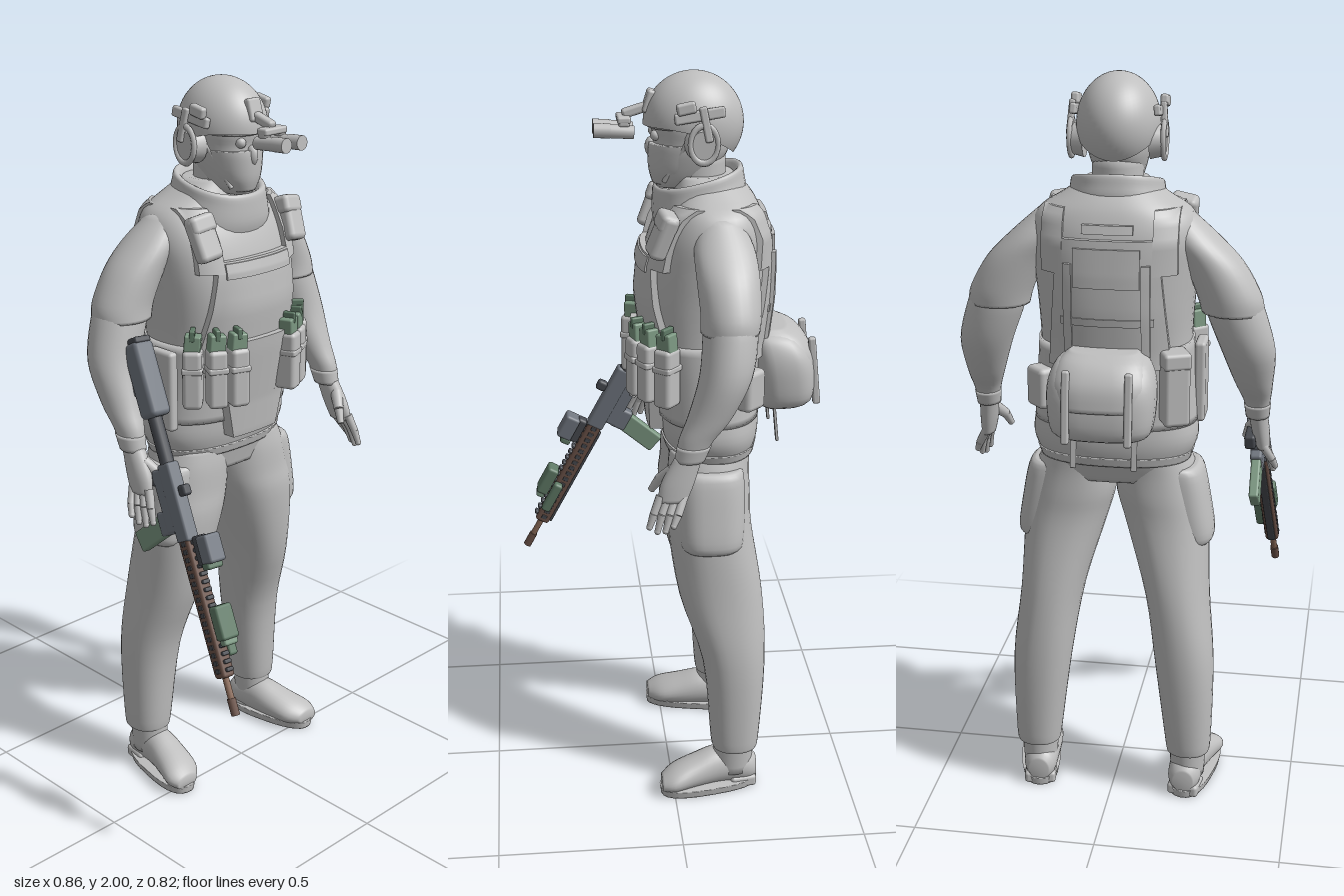
import * as THREE from 'three';
import { RoundedBoxGeometry } from 'three/addons/geometries/RoundedBoxGeometry.js';
import { ParametricGeometry } from 'three/addons/geometries/ParametricGeometry.js';

const mat = (name, color) => Object.assign(new THREE.MeshStandardMaterial({ color }), { name });

// Skin through horizontal rings [x, y, z, radiusX, radiusZ, tilt]; n squares the rings off
function loft(sections, n = 2, seg = 28, sub = 4) {
  const rings = [], S = i => sections[Math.min(Math.max(i, 0), sections.length - 1)];
  for (let i = 0; i < sections.length - 1; i++)
    for (let k = 0; k < sub; k++) {
      const t = k / sub;
      rings.push([0, 1, 2, 3, 4, 5].map(c => {
        const [a, b, d, e] = [S(i - 1), S(i), S(i + 1), S(i + 2)].map(s => s[c] || 0);
        return b + 0.5 * t * (d - a + t * (2 * a - 5 * b + 4 * d - e + t * (3 * (b - d) + e - a)));
      }));
    }
  rings.push(S(sections.length));
  const pos = [], idx = [], pw = v => Math.sign(v) * Math.abs(v) ** (2 / n);
  for (const [x, y, z, rx, rz, tilt = 0] of rings)
    for (let j = 0; j < seg; j++) {
      const a = j / seg * Math.PI * 2, dz = pw(Math.sin(a)) * rz;
      pos.push(x + pw(Math.cos(a)) * rx, y - tilt * dz, z + dz);
    }
  const at = (i, j) => i * seg + j % seg, last = rings.length - 1;
  for (let i = 0; i < last; i++)
    for (let j = 0; j < seg; j++)
      idx.push(at(i, j), at(i + 1, j), at(i + 1, j + 1), at(i, j), at(i + 1, j + 1), at(i, j + 1));
  const c = pos.length / 3;
  pos.push(...rings[0].slice(0, 3), ...rings[last].slice(0, 3));
  for (let j = 0; j < seg; j++) idx.push(c, at(0, j), at(0, j + 1), c + 1, at(last, j + 1), at(last, j));
  const g = new THREE.BufferGeometry();
  g.setAttribute('position', new THREE.Float32BufferAttribute(pos, 3));
  g.setIndex(idx);
  g.computeVertexNormals();
  return g;
}

// Torso profile: y, centre z, half width, half depth
const TORSO = [[.94, -.11, .18, .1], [1, -.115, .2, .12], [1.06, -.113, .222, .134], [1.15, -.107, .21, .137],
  [1.3, -.097, .2, .152], [1.42, -.097, .205, .167], [1.52, -.102, .215, .162], [1.6, -.112, .22, .147],
  [1.66, -.118, .2, .122], [1.7, -.115, .14, .1], [1.74, -.1, .08, .075]];
const TN = 2.4;
function torsoZ(x, y, side) {
  let i = 0;
  while (i < TORSO.length - 2 && TORSO[i + 1][0] < y) i++;
  const t = (y - TORSO[i][0]) / (TORSO[i + 1][0] - TORSO[i][0]);
  const [cz, rx, rz] = [1, 2, 3].map(c => TORSO[i][c] + t * (TORSO[i + 1][c] - TORSO[i][c]));
  return cz + side * rz * (1 - Math.min(Math.abs(x) / rx, .97) ** TN) ** (1 / TN);
}

export function createModel() {
  const model = new THREE.Group();
  const grey = mat('uniformGrey', 0xbfbfbf), green = mat('magazineGreen', 0x7b9781), slate = mat('gunSlate', 0x70767f),
    dark = mat('gunDark', 0x474a50), brown = mat('handguardBrown', 0x6b5248), tan = mat('barrelTan', 0x8a6a58),
    olive = mat('deviceGreen', 0x5f7a66), shell = mat('helmetGrey', 0xbfbfbf);
  shell.side = THREE.DoubleSide;
  let parent = model;
  const add = (name, geo, m = grey, p = [0, 0, 0], r = [0, 0, 0]) => {
    const mesh = new THREE.Mesh(geo, m);
    mesh.name = name;
    mesh.position.set(...p);
    mesh.rotation.set(...r);
    parent.add(mesh);
    return mesh;
  };
  const box = (name, w, h, d, p, m, r, round = .008) =>
    add(name, new RoundedBoxGeometry(w, h, d, 2, Math.min(round, w / 3, h / 3, d / 3)), m, p, r);
  const rod = (name, a, b, r1, r2 = r1, m = grey, seg = 14) => {
    const A = new THREE.Vector3(...a), B = new THREE.Vector3(...b), d = B.clone().sub(A);
    const mesh = add(name, new THREE.CylinderGeometry(r2, r1, d.length(), seg), m);
    mesh.position.copy(A).add(B).multiplyScalar(.5);
    mesh.quaternion.setFromUnitVectors(new THREE.Vector3(0, 1, 0), d.normalize());
  };
  // Plate wrapped onto the torso, front (side 1) or back (side -1)
  const panel = (name, cx, cy, w, h, t, side, top = 1, lift = 0) => {
    const g = new THREE.BoxGeometry(w, h, t, 14, 12, 1), p = g.attributes.position;
    for (let i = 0; i < p.count; i++) {
      const x = cx + p.getX(i) * (1 + (top - 1) * (p.getY(i) / h + .5)), y = cy + p.getY(i);
      p.setXYZ(i, x, y, torsoZ(x, y, side) + side * (t / 2 - .004 + lift) + p.getZ(i));
    }
    g.computeVertexNormals();
    add(name, g);
  };
  const mirrored = (rows, s) => rows.map(([x, ...rest]) => [x * s, ...rest]);

  // Torso, cummerbund and belt
  add('torso', loft(TORSO.map(([y, z, rx, rz]) => [0, y, z, rx, rz]), TN, 48));
  add('cummerbund', loft([[0, 1.1, -.108, .219, .141], [0, 1.2, -.103, .212, .146], [0, 1.32, -.097, .206, .157]], TN, 48));
  add('belt', loft([[0, .995, -.115, .203, .123], [0, 1.02, -.114, .212, .129]], TN, 48));

  // Plate carrier
  panel('frontPlate', 0, 1.4, .36, .3, .022, 1, .72);
  panel('chestBand', 0, 1.525, .23, .04, .01, 1, 1, .016);
  panel('abdomenFlap', 0, 1.25, .2, .17, .04, 1, 1.05);
  panel('abdomenFlapLower', 0, 1.11, .16, .11, .04, 1, 1.3);
  panel('backPlate', 0, 1.44, .32, .34, .02, -1, .8);
  panel('backPatch', 0, 1.54, .17, .1, .01, -1, 1, .016);
  panel('backWebbing', 0, 1.4, .24, .02, .008, -1, 1, .016);
  for (const x of [-.1, .1]) panel('backStrap', x, 1.43, .022, .24, .014, -1, 1, .016);
  panel('dragHandle', 0, 1.635, .13, .022, .018, -1);

  for (const s of [1, -1]) {
    const side = s > 0 ? 'left' : 'right';
    // Shoulder straps and shoulder pouches
    panel(side + 'FrontStrap', s * .145, 1.6, .06, .16, .022, 1);
    panel(side + 'BackStrap', s * .145, 1.6, .06, .16, .02, -1);
    box(side + 'ShoulderPouch', .07, .12, .045, [s * .16, 1.615, .025], grey, [-.35, s * .2, s * -.1], .016);
    box(side + 'ShoulderPouchFlap', .074, .05, .05, [s * .16, 1.65, .013], grey, [-.35, s * .2, s * -.1], .014);
    // Magazine pouches with magazines
    [[.096, .082, .35], [.147, .056, .5], [.195, .016, .85]].forEach(([x, z, yaw]) => {
      box(side + 'MagazinePouch', .052, .16, .06, [s * x, 1.245, z], grey, [0, s * yaw, 0], .012);
      box(side + 'PouchBand', .056, .018, .064, [s * x, 1.27, z], grey, [0, s * yaw, 0], .006);
      box(side + 'Magazine', .044, .06, .04, [s * x, 1.335, z], green, [0, s * yaw, s * .08], .005);
      box(side + 'MagazinePull', .014, .03, .043, [s * x, 1.365, z], olive, [0, s * yaw, 0], .004);
    });
    // Sleeve and forearm
    add(side + 'Sleeve', loft(mirrored([[.308, 1.405, -.132, .081, .075], [.298, 1.45, -.135, .084, .077],
      [.258, 1.53, -.132, .079, .08], [.206, 1.595, -.127, .068, .076], [.15, 1.66, -.12, .05, .05]], s)));
    add(side + 'Forearm', loft(mirrored([[.372, 1.09, -.025, .028, .035], [.37, 1.14, -.042, .037, .045],
      [.363, 1.2, -.078, .051, .057], [.349, 1.3, -.118, .071, .067], [.318, 1.4, -.132, .077, .07], [.305, 1.45, -.132, .07, .065]], s)));
    add(side + 'GloveCuff', loft(mirrored([[.372, 1.085, -.025, .032, .039], [.371, 1.125, -.037, .036, .044]], s)));
    // Hand
    add(side + 'Palm', loft(mirrored([[.387, .98, .02, .018, .038], [.38, 1.03, .005, .024, .043], [.372, 1.1, -.025, .026, .034]], s)));
    for (let i = 0; i < 4; i++) {
      const z = .05 - i * .02, k = [.01, 0, .004, .02][i];
      const knuckle = [s * (.396 + i * .005), .95, z + .018], tip = [s * (.4 + i * .007), .905 + k, z + .03];
      rod(side + 'Finger', [s * .386, .995, z], knuckle, .0125, .011);
      rod(side + 'Fingertip', knuckle, tip, .011, .008);
      add(side + 'FingerEnd', new THREE.SphereGeometry(.0085, 10, 8), grey, tip);
    }
    rod(side + 'Thumb', [s * .372, 1.06, .015], [s * .345, 1.025, .05], .018, .014);
    rod(side + 'ThumbTip', [s * .345, 1.025, .05], [s * .333, .99, .07], .013, .009);
    // Trouser leg and cargo pocket
    add(side + 'TrouserLeg', loft(mirrored([[.213, .13, -.175, .058, .06], [.214, .16, -.175, .064, .068],
      [.2, .4, -.171, .081, .087], [.174, .6, -.135, .088, .115], [.14, .8, -.105, .113, .115],
      [.119, .89, -.105, .117, .112], [.108, .96, -.105, .109, .11], [.1, 1.01, -.11, .098, .108]], s), 2.2, 32));
    add(side + 'CargoPocket', loft(mirrored([[.194, .75, -.105, .064, .075], [.201, .775, -.105, .069, .086],
      [.188, .86, -.105, .07, .09], [.175, .955, -.105, .064, .088], [.16, .975, -.105, .06, .08]], s), 2.6));
    // Boot
    add(side + 'BootShaft', loft(mirrored([[.213, .05, -.17, .047, .055], [.213, .16, -.172, .053, .058]], s)));
    add(side + 'BootFoot', loft(mirrored([[.207, -.238, -.05, .028, .032], [.208, -.21, -.057, .045, .05],
      [.213, -.13, -.063, .049, .057], [.226, -.06, -.053, .055, .046], [.242, 0, -.042, .057, .034],
      [.252, .036, -.034, .034, .02]], s)).rotateX(Math.PI / 2));
    add(side + 'BootSole', loft([[0, 0, 0, .052, .14], [0, .024, 0, .057, .143]], 2.6), grey, [s * .228, 0, -.1], [0, s * .19, 0]);
    box(side + 'BootHeel', .088, .035, .075, [s * .21, .018, -.195], grey, [0, s * .15, 0], .01);
  }

  // Scarf collar, neck and head
  add('collar', loft([[0, 1.62, -.085, .145, .11, .3], [0, 1.665, -.085, .136, .122, .3], [0, 1.705, -.083, .124, .12, .25],
    [0, 1.732, -.082, .118, .115, .25], [0, 1.728, -.082, .1, .1, .25], [0, 1.68, -.085, .08, .08, .25]], 2.2, 36));
  add('neck', loft([[0, 1.64, -.085, .07, .07], [0, 1.8, -.085, .065, .07]]));
  add('head', loft([[0, 1.705, -.02, .035, .045], [0, 1.73, -.038, .058, .073], [0, 1.79, -.058, .077, .098],
    [0, 1.83, -.065, .082, .1], [0, 1.87, -.067, .086, .108], [0, 1.93, -.07, .08, .1]], 2.2, 32));
  add('faceMask', loft([[0, 1.715, -.018, .04, .054], [0, 1.75, -.036, .064, .082], [0, 1.8, -.05, .077, .099], [0, 1.822, -.055, .08, .102]], 2.2));
  add('nose', new THREE.SphereGeometry(.018, 14, 10).scale(.8, 1.5, 1), grey, [0, 1.808, .038]);
  add('goggleFrame', loft([[0, 1.862, -.055, .084, .106], [0, 1.89, -.06, .088, .112]], 2.2));
  for (const s of [1, -1]) add('eye', new THREE.SphereGeometry(.014, 12, 10), grey, [s * .032, 1.843, .03]);

  // Helmet: the rim rises at the brow and drops at the nape
  add('helmet', new ParametricGeometry((u, v, out) => {
    const a = u * Math.PI * 2, f = Math.cos(a);
    const t = Math.max(v, .001) * Math.PI * (.54 - .1 * f + .07 * f * f);
    out.set(.108 * Math.sin(t) * Math.sin(a), 1.87 + .13 * Math.cos(t), -.07 + .13 * Math.sin(t) * f);
  }, 48, 24), shell);
  for (const s of [1, -1]) {
    rod('earCup', [s * .085, 1.83, -.085], [s * .122, 1.83, -.085], .047, .038, grey, 20);
    add('earCupRing', new THREE.TorusGeometry(.035, .007, 8, 24).scale(1, 1.35, 1), grey, [s * .12, 1.835, -.085], [0, Math.PI / 2, 0]);
    box('helmetRail', .018, .028, .13, [s * .107, 1.905, -.075], grey, [.15, 0, s * .1]);
    box('earCupArm', .016, .09, .02, [s * .12, 1.885, -.09], grey, [.2, 0, s * .08]);
    box('railLight', .022, .03, .05, [s * .115, 1.925, -.04], grey, [.2, 0, 0]);
    rod('chinStrap', [s * .083, 1.84, -.05], [s * .045, 1.725, .01], .006);
    // Night vision tubes
    rod('goggleTube', [s * .028, 1.85, .085], [s * .028, 1.855, .15], .017, .018, grey, 18);
    rod('goggleLens', [s * .028, 1.855, .145], [s * .028, 1.857, .188], .019, .019, grey, 18);
    box('goggleHinge', .025, .022, .03, [s * .027, 1.875, .11]);
  }
  box('goggleShroud', .045, .06, .022, [0, 1.925, .045], grey, [-.3, 0, 0]);
  box('goggleArm', .026, .025, .07, [0, 1.902, .08], grey, [.3, 0, 0]);
  box('goggleBridge', .08, .018, .035, [0, 1.882, .11]);

  // Back pouch, radio pouch and side pouch
  add('backPouch', loft([[.005, 1.105, -.3, .09, .05], [.005, 1.13, -.315, .128, .08], [.005, 1.2, -.312, .14, .088],
    [.005, 1.26, -.302, .138, .085], [.005, 1.305, -.285, .12, .068], [.005, 1.325, -.27, .09, .04]], 2.9, 36));
  add('backPouchLid', loft([[.005, 1.2, -.31, .125, .094], [.005, 1.26, -.303, .13, .091],
    [.005, 1.308, -.287, .112, .074], [.005, 1.332, -.272, .085, .045]], 2.9, 36));
  for (const x of [-.075, .085]) {
    box('pouchStrap', .02, .19, .02, [x, 1.21, -.392], grey, [.1, 0, 0], .006);
    box('strapTail', .016, .12, .008, [x, 1.07, -.29], grey, [.1, 0, 0]);
  }
  box('radioPouch', .07, .19, .075, [-.17, 1.22, -.23], grey, [0, .4, 0], .012);
  box('radioPouchFlap', .074, .045, .08, [-.17, 1.3, -.23], grey, [0, .4, 0], .01);
  box('sidePouch', .075, .11, .05, [.185, 1.2, -.205], grey, [0, -.8, 0], .014);
  box('hipPanel', .03, .22, .09, [-.222, 1.2, -.07], grey, [0, 0, 0], .01);

  // Rifle: muzzle at the local origin, barrel towards +z, sights towards +y
  parent = new THREE.Group();
  parent.name = 'rifle';
  const fwd = new THREE.Vector3(-.085, -.88, .46).normalize();
  const right = new THREE.Vector3(0, .46, .88).cross(fwd).normalize();
  parent.quaternion.setFromRotationMatrix(new THREE.Matrix4().makeBasis(right, fwd.clone().cross(right), fwd));
  parent.position.set(-.41, .48, .395);
  model.add(parent);
  rod('muzzleBrake', [0, 0, 0], [0, 0, -.045], .012, .012, brown, 10);
  rod('barrel', [0, 0, -.04], [0, 0, -.5], .009, .009, tan, 10);
  box('handguard', .038, .042, .37, [0, 0, -.285], brown);
  for (let i = 0; i < 17; i++) {
    box('topRailTooth', .022, .012, .011, [0, .025, -.12 - i * .021], dark);
    for (const s of [1, -1]) box('handguardSlot', .004, .016, .012, [s * .0195, 0, -.12 - i * .021], dark);
  }
  box('lowerRail', .022, .01, .34, [0, -.024, -.28], dark);
  box('laserUnit', .055, .035, .09, [.006, .046, -.24], olive);
  box('laserLens', .045, .025, .02, [.006, .046, -.19], green);
  box('weaponLight', .028, .028, .1, [.03, .012, -.2], olive);
  box('opticMount', .035, .03, .08, [.006, .04, -.43], dark);
  box('optic', .052, .045, .075, [.008, .07, -.43], slate);
  box('opticHood', .05, .03, .02, [.008, .06, -.388], olive);
  box('rearSight', .026, .03, .03, [0, .04, -.59], dark);
  box('upperReceiver', .04, .05, .21, [0, 0, -.565], slate);
  box('lowerReceiver', .036, .045, .17, [0, -.035, -.575], slate);
  box('magazineWell', .034, .05, .065, [0, -.06, -.52], slate);
  box('magazine', .027, .14, .058, [0, -.125, -.505], green, [-.22, 0, 0], .006);
  box('pistolGrip', .03, .1, .04, [0, -.09, -.65], dark, [.35, 0, 0]);
  rod('bufferTube', [0, 0, -.66], [0, 0, -.9], .019, .019, dark, 14);
  box('stock', .062, .065, .2, [0, .008, -.89], slate, [0, 0, 0], .014);
  box('stockToe', .046, .06, .13, [0, -.04, -.92], slate, [.2, 0, 0], .012);
  box('buttPad', .05, .115, .018, [0, -.018, -.992], dark);
  return model;
}
